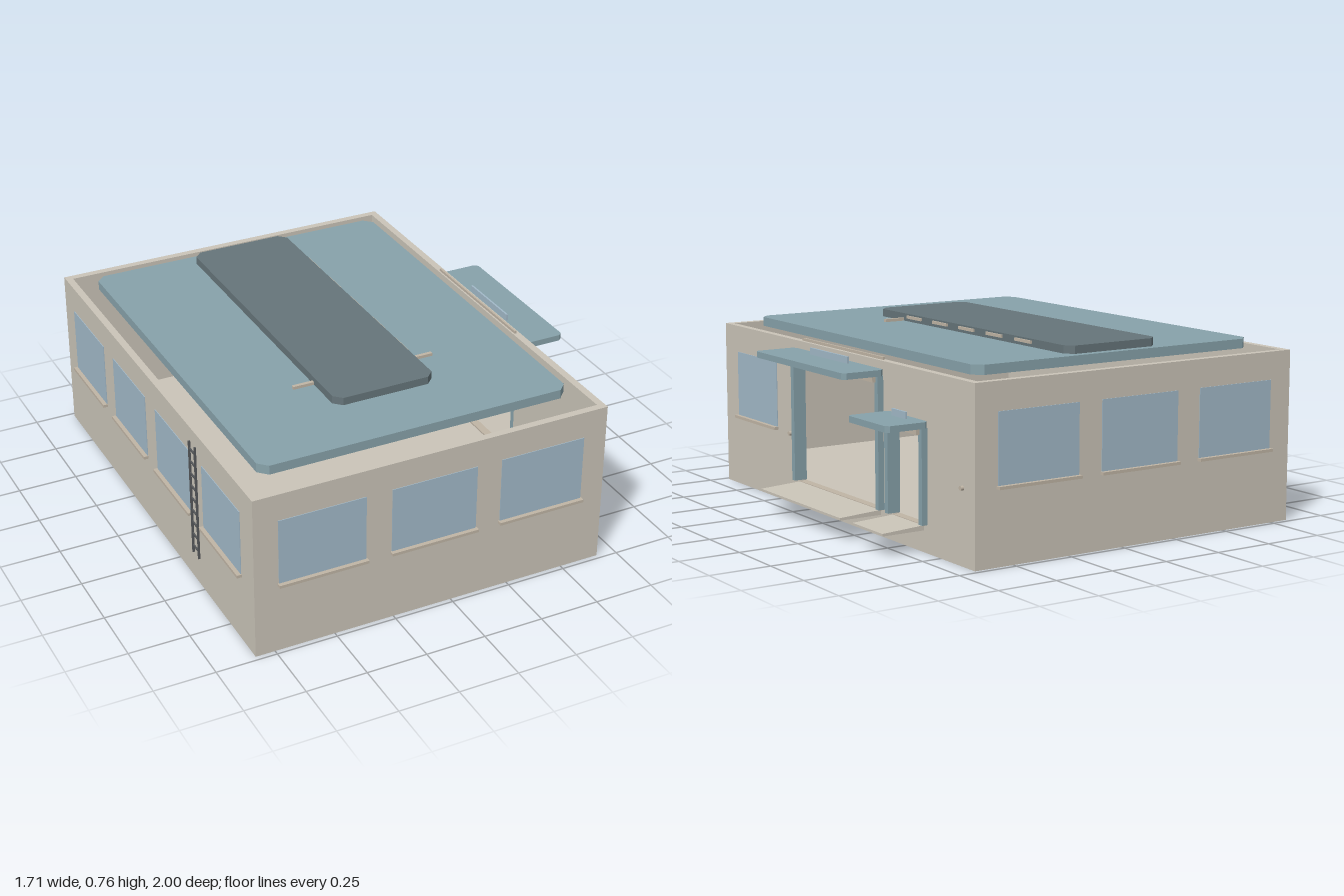
import * as THREE from 'three';

const mat = (name, color) => {
  const m = new THREE.MeshStandardMaterial({ color });
  m.name = name;
  return m;
};

export function createModel() {
  const root = new THREE.Group();
  root.name = 'building';
  const wall = mat('warm plaster', 0xcac4b8);
  const trim = mat('trim beige', 0xc0b5a5);
  const teal = mat('muted teal', 0x87a2aa);
  const dark = mat('slate', 0x66757a);
  const glass = mat('pale blue glass', 0xa2b9c8);
  const metal = mat('dark metal', 0x55585a);

  const add = (name, geo, material, parent = root) => {
    const m = new THREE.Mesh(geo, material);
    m.name = name;
    parent.add(m);
    return m;
  };
  // Box given by its limits on each axis
  const box = (name, x0, x1, y0, y1, z0, z1, material, parent) => {
    const g = new THREE.BoxGeometry(x1 - x0, y1 - y0, z1 - z0);
    g.translate((x0 + x1) / 2, (y0 + y1) / 2, (z0 + z1) / 2);
    return add(name, g, material, parent);
  };
  // Horizontal slab with chamfered corners
  const slab = (name, x0, x1, y0, y1, z0, z1, c, material, parent) => {
    const pts = [[x0 + c, z0], [x1 - c, z0], [x1, z0 + c], [x1, z1 - c],
      [x1 - c, z1], [x0 + c, z1], [x0, z1 - c], [x0, z0 + c]];
    const s = new THREE.Shape(pts.map(([x, z]) => new THREE.Vector2(x, -z)));
    const g = new THREE.ExtrudeGeometry(s, { depth: y1 - y0, bevelEnabled: false });
    g.rotateX(-Math.PI / 2).translate(0, y0, 0);
    return add(name, g, material, parent);
  };

  const X0 = -0.83, X1 = 0.67, Z = 0.98, H = 0.692, T = 0.03, FLOOR = 0.1;
  const doors = [
    { name: 'largeDoor', z0: -0.345, z1: 0.35, top: 0.635 },
    { name: 'smallDoor', z0: -0.66, z1: -0.39, top: 0.48 },
  ];

  // Open-topped shell
  box('floor', X0, X1, 0, FLOOR, -Z, Z, wall);
  box('leftWall', X0, X0 + T, FLOOR, H, -Z, Z, wall);
  for (const s of [-1, 1]) {
    const a = s * Z, b = s * (Z - T);
    box(s > 0 ? 'frontWall' : 'backWall', X0 + T, X1 - T, FLOOR, H, Math.min(a, b), Math.max(a, b), wall);
  }
  const rect = (Type, a, b, y0, y1) => new Type([[a, y0], [b, y0], [b, y1], [a, y1]].map(p => new THREE.Vector2(...p)));
  const side = rect(THREE.Shape, -Z, Z, FLOOR, H);
  for (const d of doors) {
    side.holes.push(rect(THREE.Path, -d.z1 + 0.02, -d.z0 - 0.02, FLOOR + 0.001, d.top - 0.025));
  }
  const sideGeo = new THREE.ExtrudeGeometry(side, { depth: T, bevelEnabled: false });
  sideGeo.rotateY(Math.PI / 2).translate(X1 - T, 0, 0);
  add('doorWall', sideGeo, wall);

  // Windows and sills
  const WY0 = 0.305, WY1 = 0.58, P = 0.003;
  for (const [a, b] of [[-0.73, -0.37], [-0.262, 0.1], [0.206, 0.57]]) {
    box('frontWindow', a, b, WY0, WY1, Z, Z + P, glass);
    box('frontSill', a - 0.005, b + 0.005, 0.293, WY0, Z, 1, trim);
    box('backWindow', a, b, WY0, WY1, -Z - P, -Z, glass);
    box('backSill', a - 0.005, b + 0.005, 0.293, WY0, -1, -Z, trim);
  }
  for (const [a, b] of [[-0.87, -0.52], [-0.41, -0.06], [0.05, 0.4], [0.515, 0.865]]) {
    box('leftWindow', X0 - P, X0, WY0, WY1, a, b, glass);
    box('leftSill', X0 - 0.02, X0, 0.293, WY0, a - 0.005, b + 0.005, trim);
  }
  box('rightWindow', X1, X1 + P, WY0, WY1, 0.515, 0.865, glass);
  box('rightSill', X1, X1 + 0.02, 0.293, WY0, 0.51, 0.87, trim);

  // Doorways: posts, lintel, canopy, blank panel and loading ramp
  for (const d of doors) {
    const g = new THREE.Group();
    g.name = d.name;
    root.add(g);
    const { z0, z1, top } = d, mid = (z0 + z1) / 2, w = z1 - z0;
    box('post', X1 - T, X1 + 0.025, 0.11, top, z0, z0 + 0.024, teal, g);
    box('post', X1 - T, X1 + 0.025, 0.11, top, z1 - 0.024, z1, teal, g);
    box('lintel', X1, X1 + 0.04, top - 0.025, top, z0 + 0.015, z1 - 0.015, trim, g);
    slab('canopy', X1, 0.853, top, top + 0.025, z0 - 0.01, z1 + 0.007, 0.015, teal, g);
    box('canopyStrip', 0.755, 0.765, top - 0.006, top, z0 + 0.04, z1 - 0.04, trim, g);
    const half = w > 0.5 ? 0.148 : 0.05;
    box('panel', 0.705, 0.713, top + 0.025, top + 0.052, mid - half, mid + half, glass, g);
    box('threshold', X1 - T, X1 + 0.004, FLOOR, FLOOR + 0.007, z0 + 0.024, z1 - 0.024, trim, g);

    // Ramp with a gently sloping top
    const prof = new THREE.Shape([[X1, 0.085], [0.853, 0.085], [0.853, 0.095], [X1, 0.105]]
      .map(p => new THREE.Vector2(...p)));
    const rampGeo = new THREE.ExtrudeGeometry(prof, { depth: w - 0.05, bevelEnabled: false });
    rampGeo.translate(0, 0, z0 + 0.025);
    add('ramp', rampGeo, wall, g);
  }

  // Raised roof and upper deck
  slab('roof', -0.735, 0.575, 0.692, 0.73, -0.845, 0.845, 0.036, teal);
  slab('upperRoof', -0.297, 0.134, 0.73, 0.762, -0.81, 0.577, 0.032, dark);
  for (let i = 0; i < 5; i++) {
    const z = -0.515 + i * 0.2;
    box('roofVent', 0.134, 0.142, 0.743, 0.755, z - 0.055, z + 0.055, trim);
  }
  box('crossBar', -0.385, 0.225, 0.73, 0.742, 0.372, 0.387, trim);
  box('parapetStrip', 0.647, 0.656, H, 0.703, -0.32, 0.315, trim);

  // Small round wall outlets
  for (const z of [0.4, -0.9]) {
    const g = new THREE.CylinderGeometry(0.009, 0.009, 0.012, 12);
    g.rotateZ(Math.PI / 2).translate(X1 + 0.006, 0.295, z);
    add('wallOutlet', g, trim);
  }

  // Ladder
  const ladder = new THREE.Group();
  ladder.name = 'ladder';
  root.add(ladder);
  for (const z of [0.445, 0.5]) box('rail', -0.855, -0.847, 0.155, 0.66, z, z + 0.007, metal, ladder);
  for (let i = 0; i < 9; i++) {
    const y = 0.185 + i * 0.055;
    box('rung', -0.854, -0.848, y, y + 0.007, 0.45, 0.502, metal, ladder);
  }
  return root;
}
